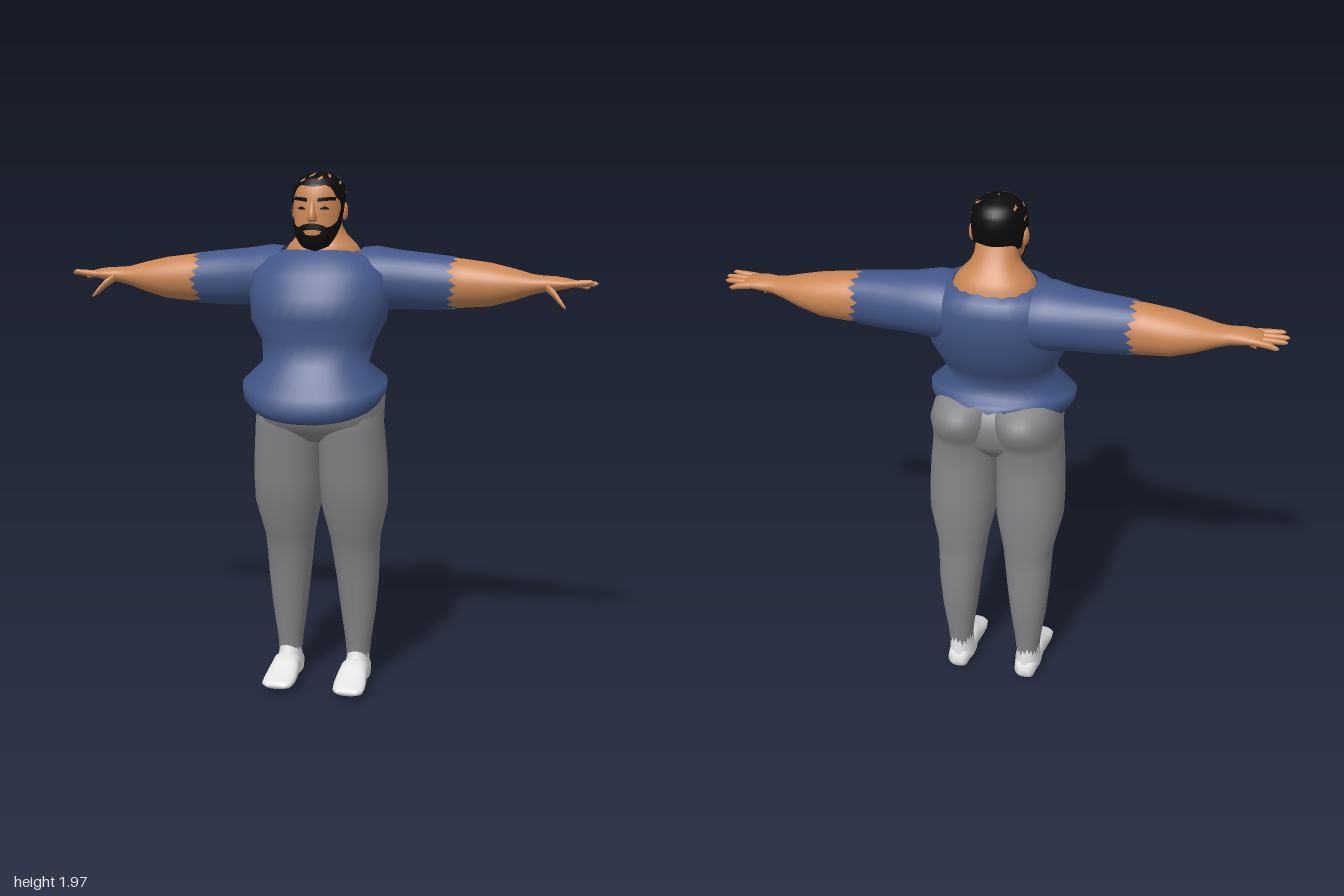
import * as THREE from 'three';

const SEG = 36;
const mat = (name, color) => {
  const m = new THREE.MeshStandardMaterial({ color, side: THREE.DoubleSide });
  m.name = name;
  return m;
};
const lerp = THREE.MathUtils.lerp;
const spow = (v, e) => Math.sign(v) * Math.pow(Math.abs(v), e);
const zig = (i) => (i % 2 ? 1 : -1) * (0.6 + 0.4 * Math.sin(i * 2.3));

// Linear lookup in rows sorted by their first number
function interp(rows, t) {
  let i = 0;
  while (i < rows.length - 2 && t > rows[i + 1][0]) i++;
  const a = rows[i], b = rows[i + 1];
  const k = THREE.MathUtils.clamp((t - a[0]) / (b[0] - a[0]), 0, 1);
  return a.map((v, j) => lerp(v, b[j], k));
}

// Skin a surface over rows of points, facing away from its middle
function loft(rows, { closed = true, caps = false, centre } = {}) {
  const n = rows[0].length, pts = rows.flat(), idx = [];
  for (let r = 0; r < rows.length - 1; r++) {
    for (let i = 0; i < (closed ? n : n - 1); i++) {
      const j = (i + 1) % n, a = r * n + i, b = r * n + j;
      idx.push(a, b, b + n, a, b + n, a + n);
    }
  }
  if (caps) {
    [0, rows.length - 1].forEach((r, e) => {
      const mid = new THREE.Vector3();
      rows[r].forEach((p) => mid.addScaledVector(p, 1 / n));
      const c = pts.push(mid) - 1;
      for (let i = 0; i < n; i++) {
        const a = r * n + i, b = r * n + ((i + 1) % n);
        e ? idx.push(a, b, c) : idx.push(b, a, c);
      }
    });
  }
  const mid = centre || new THREE.Box3().setFromPoints(pts).getCenter(new THREE.Vector3());
  const [A, B, C] = [0, 1, 2].map(() => new THREE.Vector3());
  let vol = 0;
  for (let i = 0; i < idx.length; i += 3) {
    A.subVectors(pts[idx[i]], mid); B.subVectors(pts[idx[i + 1]], mid); C.subVectors(pts[idx[i + 2]], mid);
    vol += A.dot(B.cross(C));
  }
  if (vol < 0) idx.reverse();
  const g = new THREE.BufferGeometry().setFromPoints(pts);
  g.setIndex(idx);
  g.computeVertexNormals();
  return g;
}

const ring = (fn, n = SEG) => Array.from({ length: n }, (_, i) => fn((i / n) * Math.PI * 2, i));

// Level ring: heights at front and back, x range, z range, ragged edge depth
const levelRing = (yF, yB, x0, x1, zF, zB, jag = 0, e = 0.92) => ring((a, i) => new THREE.Vector3(
  (x0 + x1) / 2 + (x1 - x0) / 2 * spow(Math.sin(a), e),
  lerp(yB, yF, (1 + Math.cos(a)) / 2) + jag * zig(i) * (Math.cos(a) > 0.6 ? 0.15 : 1),
  (zF + zB) / 2 + (zF - zB) / 2 * spow(Math.cos(a), e)));

// Upright ring across an arm
const armRing = (s, x, yT, yB, zF, zB, jag = 0) => ring((a, i) => new THREE.Vector3(
  s * (x + jag * zig(i)), (yT + yB) / 2 + (yT - yB) / 2 * Math.cos(a), (zF + zB) / 2 + (zF - zB) / 2 * Math.sin(a)));

// Ring across a foot
const footRing = (s, z, yT, yB, x0, x1) => ring((a) => new THREE.Vector3(
  s * ((x0 + x1) / 2 + (x1 - x0) / 2 * spow(Math.sin(a), 0.8)), (yT + yB) / 2 + (yT - yB) / 2 * spow(Math.cos(a), 0.8), z));

// Head profile: y, half width, z front, z back
const HEAD = [
  [1.697, 0.006, 0.045, 0.02], [1.702, 0.035, 0.064, -0.005], [1.718, 0.055, 0.074, -0.012], [1.75, 0.074, 0.08, -0.05],
  [1.79, 0.086, 0.08, -0.1], [1.83, 0.09, 0.076, -0.122], [1.88, 0.092, 0.074, -0.132], [1.92, 0.087, 0.064, -0.128],
  [1.945, 0.068, 0.04, -0.11], [1.96, 0.04, 0.008, -0.078], [1.966, 0.004, -0.03, -0.04]];
const HEAD_MID = new THREE.Vector3(0, 1.84, -0.03);
function headPoint(a, y, off) {
  const [, w, f, b] = interp(HEAD, y);
  const p = new THREE.Vector3(w * Math.sin(a), y, (f + b) / 2 + (f - b) / 2 * Math.cos(a));
  return p.addScaledVector(p.clone().sub(HEAD_MID).normalize(), off);
}
// Thin patch lying on the head between two heights
function headPatch(a0, a1, lo, hi, off, nA = 12, nY = 4) {
  const rows = [];
  for (let r = 0; r <= nY; r++) {
    rows.push(Array.from({ length: nA + 1 }, (_, i) => {
      const a = lerp(a0, a1, i / nA);
      return headPoint(a, lerp(lo(a), hi(a), r / nY), off);
    }));
  }
  return loft(rows, { closed: false, centre: HEAD_MID });
}

export function createModel() {
  const model = new THREE.Group();
  model.name = 'standingMan';
  const skin = mat('skin', 0xc98553), blue = mat('shirtBlue', 0x425688), grey = mat('trouserGrey', 0x858587);
  const white = mat('sockWhite', 0xe2e2e2), black = mat('hairBlack', 0x0b0b0b);
  const add = (name, geo, m) => {
    const mesh = new THREE.Mesh(geo, m);
    mesh.name = name;
    model.add(mesh);
    return mesh;
  };

  // Shirt body from the ragged hem to the collar: y front, y back, half width, z front, z back, jag
  add('shirtBody', loft([
    [1.105, 1.225, 0.235, 0.19, -0.205, 0.02], [1.09, 1.24, 0.25, 0.235, -0.2], [1.125, 1.25, 0.265, 0.26, -0.19],
    [1.18, 1.262, 0.268, 0.247, -0.17], [1.29, 1.29, 0.195, 0.185, -0.142], [1.37, 1.36, 0.212, 0.152, -0.185],
    [1.45, 1.43, 0.25, 0.19, -0.225], [1.53, 1.53, 0.26, 0.175, -0.255], [1.61, 1.61, 0.255, 0.135, -0.258],
    [1.67, 1.655, 0.205, 0.075, -0.238], [1.695, 1.675, 0.145, 0.03, -0.21, 0.006],
  ].map(([yF, yB, w, f, b, j]) => levelRing(yF, yB, -w, w, f, b, j))), blue);

  // Seat of the trousers
  add('trouserSeat', loft([
    [1.25, 0.18, 0.13, -0.13], [1.2, 0.222, 0.15, -0.19], [1.14, 0.236, 0.165, -0.2], [1.07, 0.233, 0.155, -0.19],
    [1.03, 0.22, 0.105, -0.16], [0.99, 0.15, 0.05, -0.12],
  ].map(([y, w, f, b]) => levelRing(y, y, -w, w, f, b)), { caps: true }), grey);

  for (const s of [1, -1]) {
    const side = s > 0 ? 'left' : 'right';
    // Trouser leg: y, inner x, outer x, z front, z back, jag
    add(side + 'TrouserLeg', loft([
      [1.25, 0.03, 0.17, 0.02, -0.14], [1.228, 0.01, 0.2, 0.05, -0.205], [1.2, 0, 0.222, 0.08, -0.243],
      [1.15, -0.004, 0.237, 0.1, -0.246], [1.1, -0.004, 0.239, 0.12, -0.222], [1.05, -0.004, 0.241, 0.118, -0.193],
      [0.95, 0, 0.25, 0.1, -0.195], [0.85, 0, 0.256, 0.09, -0.2], [0.74, 0.004, 0.255, 0.072, -0.205],
      [0.6, 0.034, 0.224, 0.022, -0.195], [0.53, 0.042, 0.22, 0, -0.19], [0.43, 0.055, 0.216, -0.015, -0.2],
      [0.3, 0.07, 0.205, -0.035, -0.19], [0.17, 0.088, 0.187, -0.055, -0.172], [0.125, 0.092, 0.183, -0.058, -0.168, 0.02],
    ].map(([y, a, b, f, k, j]) => levelRing(y, y, s * a, s * b, f, k, j))), grey);

    // Sock: ankle and foot
    add(side + 'SockAnkle', loft([
      [0.17, 0.096, 0.179, -0.062, -0.165], [0.11, 0.096, 0.18, -0.052, -0.166], [0.07, 0.088, 0.185, -0.02, -0.176],
      [0.03, 0.085, 0.187, 0, -0.18],
    ].map(([y, a, b, f, k]) => levelRing(y, y, s * a, s * b, f, k))), white);
    add(side + 'SockFoot', loft([
      [-0.183, 0.05, 0.015, 0.115, 0.16], [-0.17, 0.08, 0.002, 0.097, 0.178], [-0.1, 0.1, 0, 0.088, 0.186],
      [-0.04, 0.115, 0.008, 0.083, 0.19], [0.0, 0.092, 0.012, 0.078, 0.195], [0.05, 0.066, 0.014, 0.076, 0.2],
      [0.09, 0.053, 0.018, 0.082, 0.198], [0.11, 0.043, 0.024, 0.1, 0.178],
    ].map((r) => footRing(s, ...r)), { caps: true }), white);

    // Sleeve: x, y top, y bottom, z front, z back, jag
    add(side + 'Sleeve', loft([
      [0.15, 1.7, 1.47, 0.03, -0.235], [0.2, 1.705, 1.465, 0.025, -0.24], [0.28, 1.692, 1.475, 0, -0.228],
      [0.4, 1.68, 1.474, -0.015, -0.208], [0.485, 1.67, 1.478, -0.02, -0.198, 0.02],
    ].map((r) => armRing(s, ...r))), blue);
    // Bare arm and palm
    add(side + 'Arm', loft([
      [0.42, 1.67, 1.484, -0.024, -0.198], [0.52, 1.663, 1.485, -0.025, -0.196], [0.62, 1.65, 1.493, -0.026, -0.196],
      [0.7, 1.632, 1.515, -0.038, -0.178], [0.77, 1.613, 1.54, -0.05, -0.155], [0.81, 1.609, 1.55, -0.055, -0.143],
      [0.85, 1.608, 1.556, -0.045, -0.145], [0.89, 1.602, 1.564, -0.045, -0.148], [0.915, 1.596, 1.57, -0.052, -0.142],
    ].map((r) => armRing(s, ...r)), { caps: true }), skin);
    // Fingers and thumb: points along each with a radius
    const digit = (name, pts) => add(side + name, loft(pts.map(([x, y, z, r]) =>
      armRing(s, x, y + r, y - r, z + r, z - r)), { caps: true }), skin);
    [[-0.058, 0.985, 1.592], [-0.083, 1, 1.585], [-0.11, 0.995, 1.58], [-0.136, 0.97, 1.567]].forEach(([z, x, y], i) =>
      digit('Finger' + (i + 1), [[0.89, 1.583, z, 0.013], [0.94, (y + 1.583) / 2, z, 0.0115], [x - 0.01, y, z, 0.008], [x, y, z, 0.003]]));
    digit('Thumb', [[0.82, 1.572, -0.065, 0.016], [0.85, 1.55, -0.045, 0.016], [0.875, 1.522, -0.027, 0.012], [0.893, 1.503, -0.016, 0.005]]);

    // Ear, eyebrow and eye
    const ear = add(side + 'Ear', new THREE.SphereGeometry(1, 16, 12), skin);
    ear.scale.set(0.012, 0.033, 0.019);
    ear.position.set(s * 0.093, 1.832, -0.035);
    add(side + 'Eyebrow', headPatch(s * 0.2, s * 0.95, (a) => 1.862 + 0.008 * Math.sin(Math.abs(a) * 2),
      (a) => 1.876 + 0.006 * Math.sin(Math.abs(a) * 2), 0.004, 8, 1), black);
    add(side + 'Eye', headPatch(s * 0.28, s * 0.68, (a) => 1.84, (a) => 1.841 + 0.009 * Math.sin((Math.abs(a) - 0.28) / 0.4 * Math.PI), 0.003, 8, 1), black);
  }

  // Neck spreading into the shoulders
  add('neck', loft([
    [1.64, 0.155, 0.02, -0.21], [1.688, 0.14, 0.022, -0.2], [1.71, 0.125, 0.01, -0.185], [1.745, 0.09, -0.002, -0.16],
    [1.78, 0.074, -0.01, -0.135], [1.83, 0.07, -0.01, -0.115],
  ].map(([y, w, f, b]) => levelRing(y, y, -w, w, f, b))), skin);

  // Head and nose
  add('head', loft(HEAD.map(([y]) => ring((a) => headPoint(a, y, 0))), { caps: true }), skin);
  add('nose', loft([[1.865, 0.007, 0.079, 0.06], [1.835, 0.011, 0.093, 0.06], [1.81, 0.019, 0.107, 0.06], [1.797, 0.014, 0.09, 0.06]]
    .map(([y, w, f, b]) => levelRing(y, y, -w, w, f, b)), { caps: true }), skin);

  // Hair cap with sideburns; rows give angle from the front and hairline height
  const hairline = [[0, 1.915], [0.5, 1.922], [0.75, 1.912], [0.95, 1.88], [1.2, 1.865], [1.27, 1.82], [1.5, 1.83],
    [1.6, 1.86], [1.85, 1.855], [2, 1.8], [Math.PI, 1.79]];
  add('hair', headPatch(-Math.PI, Math.PI, (a) => interp(hairline, Math.abs(a))[1], () => 1.966, 0.005, 72, 12), black);
  // Gaps in the hair showing the scalp
  [[0.3, 1.945], [-0.6, 1.938], [1.3, 1.93], [-1.4, 1.935], [2, 1.945], [-2.1, 1.94], [1.7, 1.9], [-1.75, 1.9], [0.9, 1.953], [-0.2, 1.955]]
    .forEach(([a, y], i) => add('scalpGap' + (i + 1), headPatch(a - 0.12, a + 0.12, (t) => y - 0.006 + 0.03 * (t - a), (t) => y + 0.002 + 0.04 * (t - a), 0.0075, 3, 1), skin));

  // Beard and moustache
  const beardTop = [[0, 1.752], [0.32, 1.754], [0.5, 1.778], [0.8, 1.782], [1.1, 1.8], [1.25, 1.85], [1.45, 1.85]];
  add('beard', headPatch(-1.45, 1.45, () => 1.697, (a) => interp(beardTop, Math.abs(a))[1], 0.005, 40, 10), black);
  add('moustache', headPatch(-0.6, 0.6, (a) => 1.773 - 0.03 * a * a, (a) => 1.794 - 0.035 * a * a, 0.007, 16, 2), black);
  return model;
}
